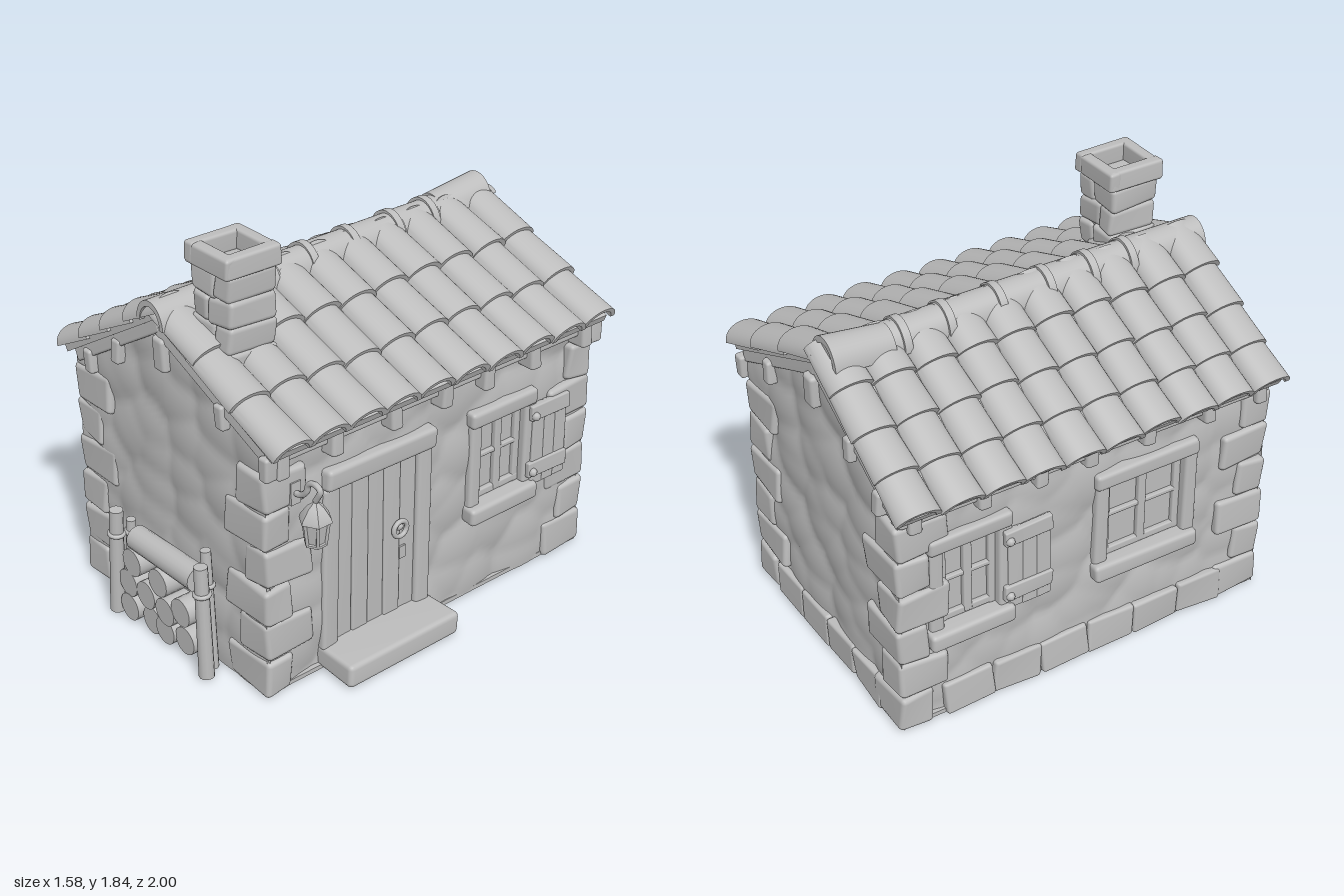
import * as THREE from 'three';
import { mergeVertices, toCreasedNormals } from 'three/addons/utils/BufferGeometryUtils.js';
import { RoundedBoxGeometry } from 'three/addons/geometries/RoundedBoxGeometry.js';

const clay = new THREE.MeshStandardMaterial({ color: 0xbcbcbc, side: THREE.DoubleSide });
clay.name = 'pale grey clay';

let seed = 7;
const rand = () => (seed = (seed * 16807) % 2147483647) / 2147483647;

function add(parent, name, geo, x = 0, y = 0, z = 0) {
  const mesh = new THREE.Mesh(geo, clay);
  mesh.name = name;
  mesh.position.set(x, y, z);
  parent.add(mesh);
  return mesh;
}

// Rounded block with slightly uneven faces, used for stones and timber
function block(parent, name, w, h, d, x, y, z, amp = 0.006) {
  let g = new RoundedBoxGeometry(w, h, d, 2, Math.min(0.022, w / 4, h / 4, d / 4));
  g.deleteAttribute('normal');
  g.deleteAttribute('uv');
  g = mergeVertices(g, 1e-5);
  const p = g.attributes.position, s = rand() * 50;
  for (let i = 0; i < p.count; i++) {
    const a = p.getX(i), b = p.getY(i), c = p.getZ(i);
    p.setXYZ(i, a + amp * Math.sin(19 * b + 23 * c + s), b + amp * Math.sin(21 * a + 17 * c + 2 * s), c + amp * Math.sin(18 * a + 22 * b + 3 * s));
  }
  g.computeVertexNormals();
  return add(parent, name, g, x, y, z);
}

// Box given by its limits
const span = (parent, name, x0, x1, y0, y1, z0, z1, amp) =>
  block(parent, name, x1 - x0, y1 - y0, z1 - z0, (x0 + x1) / 2, (y0 + y1) / 2, (z0 + z1) / 2, amp);

// Distance to the nearest scattered point: gives domed rubble
function rubble(x, y, salt) {
  const u = x / 0.2, v = y / 0.17;
  let best = 9;
  for (let i = -1; i <= 1; i++) for (let j = -1; j <= 1; j++) {
    const a = Math.floor(u) + i, b = Math.floor(v) + j;
    const h = Math.sin(a * 127.1 + b * 311.7 + salt) * 43758.5, k = Math.sin(a * 269.5 + b * 183.3 + salt) * 24634.6;
    best = Math.min(best, Math.hypot(a + h - Math.floor(h) - u, b + k - Math.floor(k) - v));
  }
  return best;
}

const RIDGE = -0.06;
const LEFT = { y: 1.48, slope: 0.61 }, RIGHT = { y: 1.465, slope: 0.44 };
const underside = x => x < RIDGE ? LEFT.y - LEFT.slope * (RIDGE - x) : RIGHT.y - RIGHT.slope * (x - RIDGE);

// Rubble wall panel facing local +z, top following a height rule, with recesses [x0, x1, y0, y1]
function wall(parent, name, width, top, salt, recesses = []) {
  const g = new THREE.PlaneGeometry(width, 1, 72, 48), p = g.attributes.position;
  for (let i = 0; i < p.count; i++) {
    const x = p.getX(i), y = (p.getY(i) + 0.5) * top(x);
    const sunk = recesses.some(r => x > r[0] && x < r[1] && y > r[2] && y < r[3]);
    p.setXYZ(i, x, y, sunk ? -0.07 : -0.03 * Math.min(1, rubble(x, y, salt)) ** 2);
  }
  g.computeVertexNormals();
  return add(parent, name, g);
}

function buildBody(house) {
  const cx = -0.045;
  wall(house, 'frontWall', 1.26, x => underside(x + cx), 3).position.set(cx, 0, 0.855);
  const back = wall(house, 'backWall', 1.26, x => underside(cx - x), 11);
  back.rotation.y = Math.PI;
  back.position.set(cx, 0, -0.955);
  const right = wall(house, 'doorSideWall', 1.8, () => 1.17, 23, [[0.25, 0.54, 0.45, 0.86], [-0.54, -0.08, 0.09, 0.88]]);
  right.rotation.y = Math.PI / 2;
  right.position.set(0.585, 0, -0.05);
  const left = wall(house, 'windowSideWall', 1.8, () => 1.1, 31, [[-0.715, -0.425, 0.45, 0.86], [0.08, 0.5, 0.45, 0.86]]);
  left.rotation.y = -Math.PI / 2;
  left.position.set(-0.668, 0, -0.05);
  add(house, 'floor', new THREE.BoxGeometry(1.25, 0.02, 1.8), cx, 0.012, -0.05);
  // Corner stones, alternating long and short
  for (const sx of [-1, 1]) for (const sz of [-1, 1]) for (let r = 0; r < 6; r++) {
    const long = (r + (sx * sz > 0 ? 1 : 0)) % 2;
    const w = (long ? 0.24 : 0.15) + rand() * 0.04, d = (long ? 0.13 : 0.22) + rand() * 0.03;
    const ex = (sx > 0 ? 0.602 : -0.69) - sx * rand() * 0.008, ez = (sz > 0 ? 0.868 : -0.972) - sz * rand() * 0.008;
    block(house, 'cornerStone', w, 0.17, d, ex - sx * w / 2, 0.086 + r * 0.174, ez - sz * d / 2, 0.006);
  }
  // Foundation stones along the back and the window side
  for (let i = 0; i < 4; i++) block(house, 'foundationStone', 0.23, 0.16, 0.06, -0.39 + i * 0.23, 0.082, -0.94);
  for (let i = 0; i < 6; i++) block(house, 'foundationStone', 0.06, 0.16, 0.235, -0.66, 0.082, -0.64 + i * 0.237);
}

// Barrel tile: half ring along +x, wider at its low end
function tileGeometry(r, length, taper, lift, squash) {
  const s = new THREE.Shape();
  s.absarc(0, 0, r, 0, Math.PI, false);
  s.absarc(0, 0, r * 0.76, Math.PI, 0, true);
  const g = new THREE.ExtrudeGeometry(s, { depth: length, steps: 2, curveSegments: 10, bevelEnabled: false });
  g.rotateY(Math.PI / 2);
  const p = g.attributes.position;
  for (let i = 0; i < p.count; i++) {
    const t = p.getX(i) / length, k = 1 - taper * (1 - t);
    p.setY(i, p.getY(i) * k * squash + lift * t);
    p.setZ(i, p.getZ(i) * k);
  }
  return toCreasedNormals(g, 0.7);
}

function roofSide(house, name, yaw, { y, slope }, length, courses) {
  const side = new THREE.Group();
  side.name = name;
  side.position.set(RIDGE, y, -0.045);
  side.rotation.set(0, yaw, -Math.atan(slope));
  const slab = length - 0.02, pitch = length / courses;
  add(side, 'roofDeck', new THREE.BoxGeometry(slab, 0.035, 1.84), slab / 2, 0.018, 0);
  for (const s of [-1, 1]) block(side, 'bargeBoard', slab - 0.06, 0.07, 0.04, slab / 2 - 0.02, -0.02, s * 0.895, 0.003);
  const tile = tileGeometry(0.1, pitch + 0.04, 0.1, 0.016, 0.72);
  for (let c = 0; c < courses; c++) for (let i = 0; i < 10; i++) {
    const m = add(side, 'roofTile', tile, c * pitch - 0.04 + (rand() - 0.5) * 0.015, 0.02, (i - 4.5) * 0.188);
    m.rotation.y = (rand() - 0.5) * 0.04;
  }
  house.add(side);
}

function buildRoof(house) {
  roofSide(house, 'leftRoof', Math.PI, LEFT, 0.79, 4);
  roofSide(house, 'rightRoof', 0, RIGHT, 0.805, 3);
  // Ridge tiles with a collar over each joint
  const seams = [0.9, 0.52, 0.32, 0.1, -0.14, -0.39, -0.6, -0.9];
  for (let i = 0; i < seams.length - 1; i++) {
    const x = -0.062 - i * 0.007;
    const tile = add(house, 'ridgeTile', tileGeometry(0.088, seams[i] - seams[i + 1] + 0.03, 0, 0, 1.2), x, 1.462, seams[i]);
    tile.rotation.y = Math.PI / 2;
    if (i) add(house, 'ridgeCollar', tileGeometry(0.1, 0.035, 0, 0, 1.17), x, 1.462, seams[i] + 0.015).rotation.y = Math.PI / 2;
  }
  const end = add(house, 'ridgeEndTile', tileGeometry(0.1, 0.28, 0.1, 0.02, 1.2), -0.12, 1.465, -0.66);
  end.rotation.y = Math.PI / 2;
  // Rafter ends under both eaves and beam ends on both gables
  for (const z of [0.8, 0.53, 0.22, -0.06, -0.3, -0.57, -0.88]) {
    span(house, 'rafterEnd', 0.54, 0.65, 1.04, 1.16, z - 0.03, z + 0.03, 0.003);
    span(house, 'rafterEnd', -0.71, -0.62, 1.0, 1.09, z - 0.03, z + 0.03, 0.003);
  }
  span(house, 'wallPlate', 0.55, 0.615, 1.09, 1.165, -0.95, 0.86, 0.003);
  span(house, 'wallPlate', -0.69, -0.62, 1.03, 1.1, -0.95, 0.86, 0.003);
  for (const z of [0.85, -0.95]) for (const [x, s] of [[-0.56, 0.055], [-0.35, 0.055], [-0.045, 0.075], [0.34, 0.055], [0.61, 0.055]])
    block(house, 'beamEnd', s, s * 2, 0.07, x, underside(x) - s - (s > 0.06 ? 0.05 : 0.02), z, 0.003);
}

function buildChimney(house) {
  add(house, 'chimneyCore', new THREE.BoxGeometry(0.2, 0.5, 0.2), 0.167, 1.48, 0.655);
  for (let i = 0; i < 5; i++) for (const sx of [-1, 1]) {
    const w = (i % 2) === (sx > 0 ? 1 : 0) ? 0.145 : 0.1;
    block(house, 'chimneyStone', w, 0.118, 0.235, 0.167 + sx * (0.12 - w / 2), 1.24 + i * 0.112, 0.655, 0.006);
  }
  for (const s of [-1, 1]) {
    block(house, 'chimneyCap', 0.27, 0.09, 0.055, 0.167, 1.785, 0.655 + s * 0.108, 0.003);
    block(house, 'chimneyCap', 0.055, 0.09, 0.27, 0.167 + s * 0.108, 1.785, 0.655, 0.003);
  }
}

// Window facing local +z with lintel, sill, jambs, glazing bars and an optional open shutter
function buildWindow(house, x, z, yaw, w, shutter) {
  const g = new THREE.Group(), h = w / 2;
  g.name = 'window';
  g.position.set(x, 0, z);
  g.rotation.y = yaw;
  span(g, 'lintel', -h - 0.07, h + 0.05, 0.85, 0.93, -0.07, 0.03, 0.004);
  span(g, 'sill', -h - 0.07, h + 0.06, 0.38, 0.465, -0.07, 0.045, 0.004);
  for (const s of [-1, 1]) {
    block(g, 'jamb', 0.065, 0.41, 0.09, s * (h + 0.028), 0.655, -0.032, 0.003);
    block(g, 'frameStile', 0.035, 0.39, 0.03, s * (h - 0.018), 0.655, -0.04, 0.001);
    block(g, 'frameRail', w, 0.035, 0.03, 0, 0.655 + s * 0.175, -0.04, 0.001);
  }
  add(g, 'glass', new THREE.BoxGeometry(w, 0.39, 0.008), 0, 0.655, -0.05);
  block(g, 'centreBar', 0.04, 0.37, 0.03, 0, 0.655, -0.038, 0.001);
  block(g, 'crossBar', w, 0.02, 0.024, 0, 0.67, -0.038, 0.001);
  if (shutter) {
    for (let i = 0; i < 3; i++) block(g, 'shutterPlank', 0.07, 0.4, 0.025, h + 0.065 + i * 0.068, 0.635, 0.01, 0.002);
    for (const y of [0.8, 0.52]) {
      block(g, 'shutterBatten', 0.23, 0.075, 0.03, h + 0.125, y, 0.02, 0.003);
      add(g, 'hingeKnob', new THREE.SphereGeometry(0.02, 10, 8), h + 0.03, y - 0.01, 0.035);
    }
  }
  house.add(g);
}

function buildDoor(house) {
  for (let i = 0; i < 5; i++) span(house, 'doorPlank', 0.535, 0.57 + (i % 2) * 0.005, 0.1, 0.86, 0.043 + i * 0.087, 0.132 + i * 0.087, 0.002);
  span(house, 'doorLintel', 0.52, 0.622, 0.86, 0.96, -0.03, 0.56, 0.004);
  span(house, 'doorJamb', 0.52, 0.596, 0.09, 0.87, -0.03, 0.048, 0.004);
  span(house, 'doorJamb', 0.52, 0.596, 0.09, 0.87, 0.475, 0.565, 0.004);
  span(house, 'doorStep', 0.5, 0.77, 0.004, 0.108, -0.04, 0.57, 0.004);
  const ring = add(house, 'doorRing', new THREE.TorusGeometry(0.036, 0.011, 8, 20), 0.592, 0.52, 0.145);
  ring.rotation.y = Math.PI / 2;
  add(house, 'doorKnob', new THREE.SphereGeometry(0.02, 12, 8), 0.582, 0.53, 0.145);
  block(house, 'keyPlate', 0.01, 0.06, 0.035, 0.577, 0.39, 0.12, 0);
}

function buildLantern(house) {
  const g = new THREE.Group();
  g.name = 'lantern';
  g.position.set(0.725, 0, 0.715);
  const arm = new THREE.CatmullRomCurve3([[-0.15, 0.93], [-0.09, 0.935], [-0.055, 0.965], [-0.04, 1.005], [0, 1.022], [0.028, 1.005], [0.012, 0.97], [0, 0.95]].map(([x, y]) => new THREE.Vector3(x, y, 0)));
  add(g, 'lanternArm', new THREE.TubeGeometry(arm, 30, 0.013, 8));
  add(g, 'wallMount', new THREE.BoxGeometry(0.02, 0.1, 0.05), -0.127, 0.93, 0);
  const profile = [[0, 0.735], [0.02, 0.74], [0.03, 0.757], [0.048, 0.757], [0.048, 0.767], [0.042, 0.772], [0.054, 0.865], [0.07, 0.865], [0.066, 0.88], [0.035, 0.925], [0.016, 0.94], [0, 0.965]];
  add(g, 'lanternBody', toCreasedNormals(new THREE.LatheGeometry(profile.map(p => new THREE.Vector2(...p)), 6), 0.4));
  for (let i = 0; i < 6; i++) {
    const a = i * Math.PI / 3;
    const bar = new THREE.LineCurve3(new THREE.Vector3(0.042 * Math.sin(a), 0.765, 0.042 * Math.cos(a)), new THREE.Vector3(0.055 * Math.sin(a), 0.87, 0.055 * Math.cos(a)));
    add(g, 'lanternBar', new THREE.TubeGeometry(bar, 1, 0.007, 6));
  }
  house.add(g);
}

function buildWoodpile(house) {
  const logs = [[-0.19, 0.31], [-0.02, 0.29], [0.15, 0.235], [-0.225, 0.19], [-0.1, 0.19], [0.04, 0.18], [-0.22, 0.07], [-0.08, 0.066], [0.03, 0.08], [0.15, 0.085]];
  for (const [x, y] of logs)
    add(house, 'log', new THREE.CylinderGeometry(0.064, 0.064, 0.12, 18), x, y, 0.885 + rand() * 0.025).rotation.x = Math.PI / 2;
  const rail = add(house, 'topLog', new THREE.CylinderGeometry(0.055, 0.058, 0.43, 16), 0.01, 0.418, 0.92);
  rail.rotation.z = Math.PI / 2 + 0.02;
  // Post pairs: foot x, z, height, radius, lean
  for (const [x, z, h, r, lean] of [[-0.325, 0.958, 0.52, 0.034, -0.06], [-0.3, 0.9, 0.46, 0.025, -0.06], [0.31, 0.958, 0.53, 0.034, 0.03], [0.275, 0.9, 0.565, 0.027, 0.04]]) {
    const post = new THREE.Group();
    post.name = 'woodpilePost';
    post.position.set(x, 0.004, z);
    post.rotation.z = lean;
    add(post, 'stake', new THREE.CylinderGeometry(r - 0.004, r, h, 12), 0, h / 2, 0);
    add(post, 'rope', new THREE.TorusGeometry(r - 0.002, 0.01, 8, 16), 0, 0.4, 0).rotation.x = Math.PI / 2;
    house.add(post);
  }
}

export function createModel() {
  const house = new THREE.Group();
  house.name = 'stoneCottage';
  buildBody(house);
  buildRoof(house);
  buildChimney(house);
  buildDoor(house);
  buildWindow(house, 0.588, -0.445, Math.PI / 2, 0.27, true);
  buildWindow(house, -0.668, -0.62, -Math.PI / 2, 0.27, true);
  buildWindow(house, -0.668, 0.24, -Math.PI / 2, 0.4, false);
  buildLantern(house);
  buildWoodpile(house);
  return house;
}
